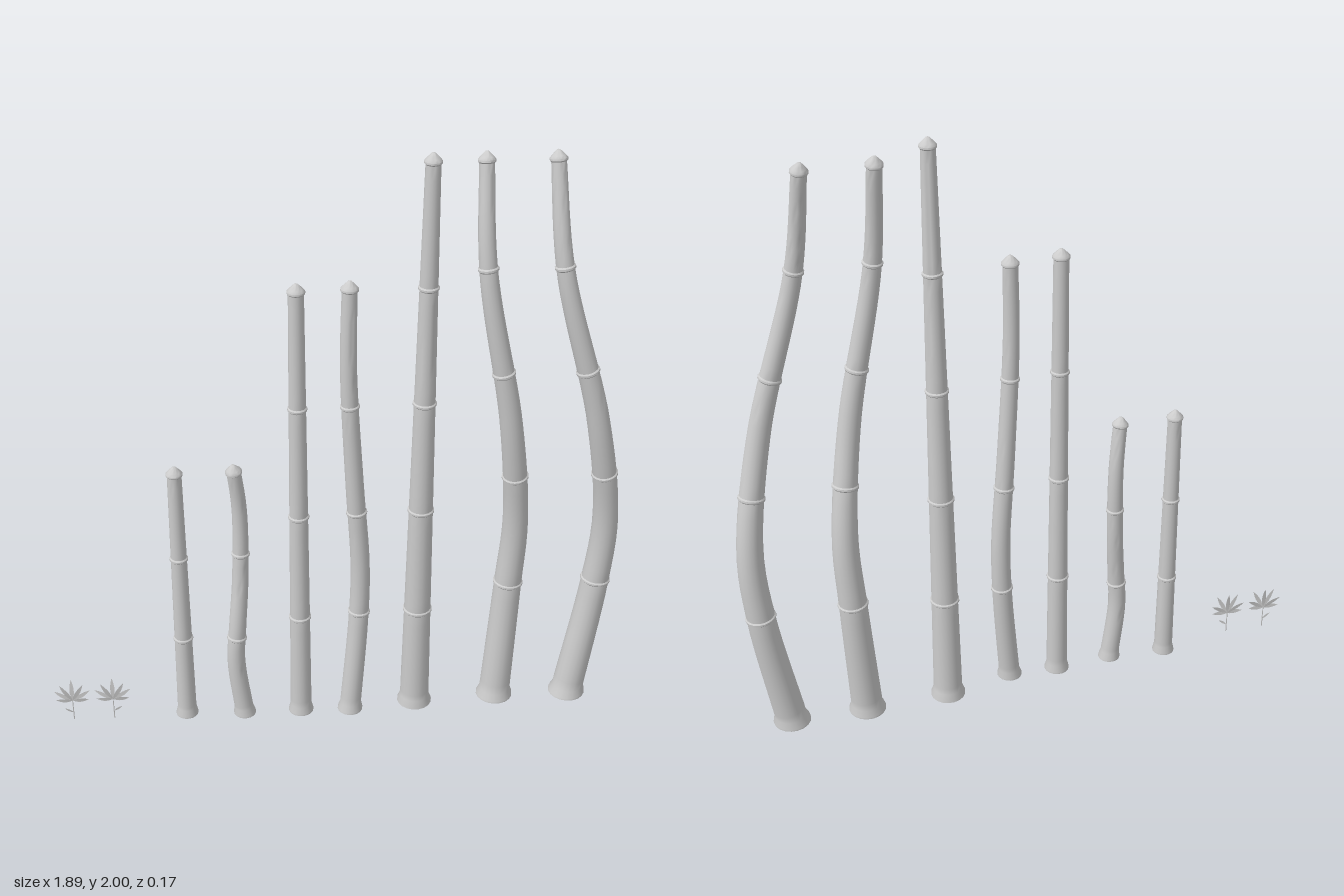
import * as THREE from 'three';
import { toCreasedNormals } from 'three/addons/utils/BufferGeometryUtils.js';

const SIDES = 18;
const material = new THREE.MeshStandardMaterial({ color: 0xcccccc });
const leafMaterial = new THREE.MeshStandardMaterial({ color: 0xcccccc, side: THREE.DoubleSide });

// Stalk sizes: foot height, top, segment count, foot radius, top radius, upward shift of the middle joints
const short = { foot: 0.015, top: 0.997, segments: 3, r0: 0.032, r1: 0.023, shift: 0 };
const medium = { foot: 0.01, top: 1.61, segments: 4, r0: 0.036, r1: 0.024, shift: 0 };
const tall = { foot: 0.003, top: 2, segments: 5, r0: 0.05, r1: 0.023, shift: 0 };
const tallBent = { foot: 0.005, top: 1.98, segments: 5, r0: 0.053, r1: 0.023, shift: 0.12 };

// Sideways positions along a stalk are given at these fractions of its height
const BENDS = [0, 0.23, 0.36, 0.56, 0.82, 1];
const tallSway = [-0.01, -0.03, -0.022, 0.025, 0.025, -0.03];

// Rings [y, radius]: recessed foot, flared rim, raised joints and pointed cap
function makeRings({ foot, top, segments, r0, r1, shift }) {
  const span = top - foot - 0.028;
  const radiusAt = (y) => r0 + ((r1 - r0) * (y - foot)) / span;
  const jointAt = (i) => foot + (span * i) / segments + shift * Math.sin((Math.PI * i) / segments);
  const rings = [
    [foot + 0.012, 0], [foot + 0.012, r0 * 0.8], [foot, r0 * 0.85],
    [foot, r0 * 1.18], [foot + 0.006, r0 * 1.17], [foot + 0.028, r0],
  ];
  for (let i = 1; i <= segments; i++) {
    const start = jointAt(i - 1), end = jointAt(i), r = radiusAt(end);
    for (let k = 1; k < 8; k++) {
      const y = start + ((end - start) * k) / 8;
      rings.push([y, radiusAt(y)]);
    }
    rings.push([end - 0.007, r], [end - 0.003, r + 0.004], [end + 0.003, r + 0.004]);
    if (i < segments) rings.push([end + 0.007, r]);
  }
  rings.push([top - 0.018, r1 * 0.92], [top - 0.009, r1 * 0.55], [top - 0.002, r1 * 0.25], [top, 0]);
  return rings;
}

// Sweep the rings along the centre line, each square to it
function makeStalk(name, size, xs, zs) {
  const { foot, top } = size;
  const heights = xs.length === 2 ? [0, 1] : BENDS;
  const curve = new THREE.CatmullRomCurve3(
    heights.map((h, i) => new THREE.Vector3(xs[i], foot + (top - foot) * h, zs[i])));
  const paramAt = (y) => {
    let lo = 0, hi = 1;
    for (let i = 0; i < 25; i++) {
      const mid = (lo + hi) / 2;
      if (curve.getPoint(mid).y < y) lo = mid; else hi = mid;
    }
    return lo;
  };
  const rings = makeRings(size);
  const positions = [], index = [];
  rings.forEach(([y, r], i) => {
    const t = paramAt(y);
    const centre = curve.getPoint(t);
    centre.y = y;
    const up = y < foot + 0.03 ? new THREE.Vector3(0, 1, 0) : curve.getTangent(t);
    const side = new THREE.Vector3(1, 0, 0).addScaledVector(up, -up.x).normalize();
    const front = side.clone().cross(up);
    for (let j = 0; j < SIDES; j++) {
      const a = (j / SIDES) * Math.PI * 2;
      const p = centre.clone().addScaledVector(side, r * Math.cos(a)).addScaledVector(front, r * Math.sin(a));
      positions.push(p.x, p.y, p.z);
      if (i === 0) continue;
      const k = (j + 1) % SIDES, lower = (i - 1) * SIDES, upper = i * SIDES;
      if (rings[i - 1][1] > 0) index.push(lower + j, upper + j, lower + k);
      if (r > 0) index.push(lower + k, upper + j, upper + k);
    }
  });
  const geometry = new THREE.BufferGeometry();
  geometry.setAttribute('position', new THREE.Float32BufferAttribute(positions, 3));
  geometry.setIndex(index);
  const mesh = new THREE.Mesh(toCreasedNormals(geometry, 0.7), material);
  mesh.name = name;
  return mesh;
}

// Pointed leaf blade growing along +y, folded a little along its midrib
function bladeGeometry(length, width) {
  const shape = new THREE.Shape();
  shape.moveTo(0, 0);
  shape.quadraticCurveTo(width * 0.7, length * 0.45, 0, length);
  shape.quadraticCurveTo(-width * 0.7, length * 0.45, 0, 0);
  const geometry = new THREE.ShapeGeometry(shape, 5);
  const p = geometry.attributes.position;
  for (let i = 0; i < p.count; i++) p.setZ(i, Math.abs(p.getX(i)) * 0.3);
  geometry.computeVertexNormals();
  return geometry;
}

// Sprig: thin stem, a fan of blades and one small low leaf
function makeSprig(name, x, mirror) {
  const sprig = new THREE.Group();
  sprig.name = name;
  const stem = new THREE.Mesh(new THREE.CylinderGeometry(0.0015, 0.002, 0.085, 5), material);
  stem.name = 'stem';
  stem.position.y = 0.0425;
  sprig.add(stem);
  const addBlade = (bladeName, y, angle, length, width, tilt) => {
    const blade = new THREE.Mesh(bladeGeometry(length, width), leafMaterial);
    blade.name = bladeName;
    blade.position.y = y;
    blade.rotation.set(tilt, 0, -angle * mirror);
    sprig.add(blade);
  };
  for (let i = -3; i <= 3; i++) {
    addBlade('leafBlade', 0.08, i * 0.5, 0.084 - 0.0032 * i * i, 0.021, i % 2 ? 0.1 : -0.08);
  }
  addBlade('lowLeaf', 0.03, -0.95, 0.035, 0.011, 0.1);
  sprig.position.set(x, 0.027, 0.068);
  return sprig;
}

export function createModel() {
  const model = new THREE.Group();
  model.name = 'bambooSet';
  model.add(
    makeStalk('shortStraightStalk', short, [-0.5, -0.498], [0.04, 0.04]),
    makeStalk('shortBentStalk', short,
      [-0.303, -0.326, -0.318, -0.303, -0.299, -0.315], [0.05, 0.051, 0.047, 0.028, 0.023, 0.04]),
    makeStalk('mediumStraightStalk', medium, [-0.11, -0.11], [0.04, 0.04]),
    makeStalk('mediumBentStalk', medium,
      [0.058, 0.086, 0.09, 0.069, 0.047, 0.05], [0.045, 0.023, 0.02, 0.027, 0.035, 0.03]),
    makeStalk('tallStraightStalk', tall, [0.284, 0.286], [0.005, 0.03]),
    makeStalk('tallBentStalk', tallBent, [0.565, 0.592, 0.602, 0.558, 0.462, 0.447], tallSway),
    makeStalk('tallLeaningStalk', tallBent, [0.82, 0.888, 0.9, 0.833, 0.692, 0.654], tallSway),
    makeSprig('leftSprig', -0.882, 1),
    makeSprig('rightSprig', -0.746, -1),
  );
  return model;
}
